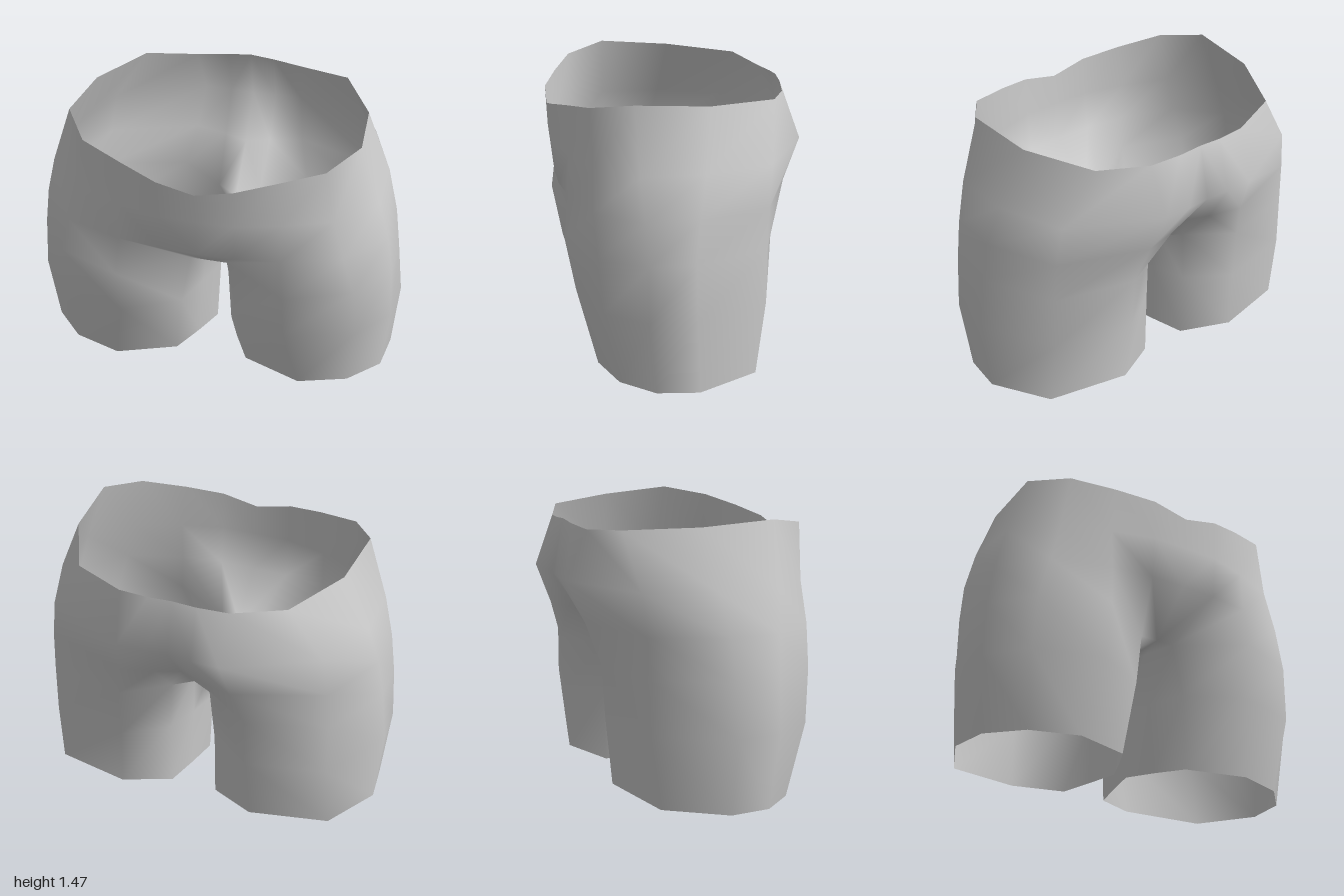
import * as THREE from 'three';
import { mergeVertices } from 'three/addons/utils/BufferGeometryUtils.js';

// Each section runs [x, z] from centre front, round the outside, to centre back.
// Leg sections end with one extra inner-thigh point that closes the loop.
const TORSO = [
  { y: 1.42, pts: [[0, .66], [.2, .655], [.4, .585], [.63, .49], [.77, .28], [.745, -.1], [.57, -.46], [.3, -.56], [.13, -.585], [0, -.59]] },
  { y: 1.13, pts: [[0, .648], [.2, .645], [.43, .58], [.68, .48], [.88, .27], [.88, -.06], [.75, -.42], [.28, -.665], [.13, -.665], [0, -.655]] },
  { y: .91, pts: [[0, .625], [.2, .62], [.43, .59], [.74, .49], [.935, .25], [.94, -.02], [.78, -.4], [.31, -.575], [.13, -.53], [0, -.48]] },
  { y: .69, pts: [[0, .38], [.1, .38], [.45, .615], [.8, .475], [.965, .24], [.97, 0], [.79, -.39], [.36, -.505], [.12, -.33], [0, -.24]] },
];
const CROTCH = TORSO[3];
const LEG = [
  { y: .69, pts: [[.05, .2], ...CROTCH.pts.slice(1, 9), [.04, -.2], [0, .04]] },
  { y: .4, pts: [[.08, .2], [.15, .4], [.45, .56], [.82, .455], [.98, .24], [1, 0], [.79, -.39], [.36, -.485], [.13, -.33], [.065, -.15], [.02, .03]] },
  { y: 0, pts: [[.11, .18], [.2, .345], [.52, .455], [.78, .37], [.94, .2], [.965, -.02], [.8, -.34], [.38, -.455], [.13, -.32], [.08, -.14], [.04, .03]] },
];
// Waistband dips at the front and peaks at the hips
const RIM_Y = [1.3, 1.345, 1.385, 1.425, 1.465, 1.44, 1.42, 1.395, 1.405, 1.415];

// Hem lifts at the back and toward the inner thigh
function hemHeight(x, z) {
  const back = .04 * (Math.max(0, -z - .15) / .3) ** 2;
  return Math.max(back, .032 * Math.max(0, 1 - x / .3));
}

function point(section, col) {
  const [x, z] = section.pts[col];
  let y = section.y;
  if (section === TORSO[0]) y = RIM_Y[col];
  if (section === LEG[2]) y = hemHeight(x, z);
  return [x, y, z];
}

function shellGeometry() {
  const positions = [];
  const triangle = (a, b, c) => {
    positions.push(...a, ...b, ...c);
    // mirrored half, wound the other way; 0 - x keeps the seam at plain zero
    for (const p of [a, c, b]) positions.push(0 - p[0], p[1], p[2]);
  };
  const panel = (sections, closed) => {
    for (let row = 0; row < sections.length - 1; row++) {
      const upper = sections[row], lower = sections[row + 1];
      const count = upper.pts.length;
      for (let col = 0; col < (closed ? count : count - 1); col++) {
        const next = (col + 1) % count;
        const a = point(upper, col), b = point(lower, col);
        const c = point(lower, next), d = point(upper, next);
        triangle(a, b, d);
        triangle(b, c, d);
      }
    }
  };
  panel(TORSO, false);
  panel(LEG, true);

  // Gusset between the legs, front and back wedges
  const middle = point(LEG[0], 10);
  const front = point(CROTCH, 0), frontInner = point(LEG[0], 0);
  triangle(front, middle, frontInner);
  triangle(front, frontInner, point(CROTCH, 1));
  const back = point(CROTCH, 9), backInner = point(LEG[0], 9);
  triangle(back, backInner, middle);
  triangle(back, point(CROTCH, 8), backInner);

  const geometry = new THREE.BufferGeometry();
  geometry.setAttribute('position', new THREE.Float32BufferAttribute(positions, 3));
  const welded = mergeVertices(geometry, 1e-4);
  welded.computeVertexNormals();
  return welded;
}

export function createModel() {
  const group = new THREE.Group();
  group.name = 'shorts';
  const fabric = new THREE.MeshStandardMaterial({ color: 0xcccccc, side: THREE.DoubleSide });
  fabric.name = 'light grey fabric';
  const shell = new THREE.Mesh(shellGeometry(), fabric);
  shell.name = 'shortsShell';
  group.add(shell);
  return group;
}
